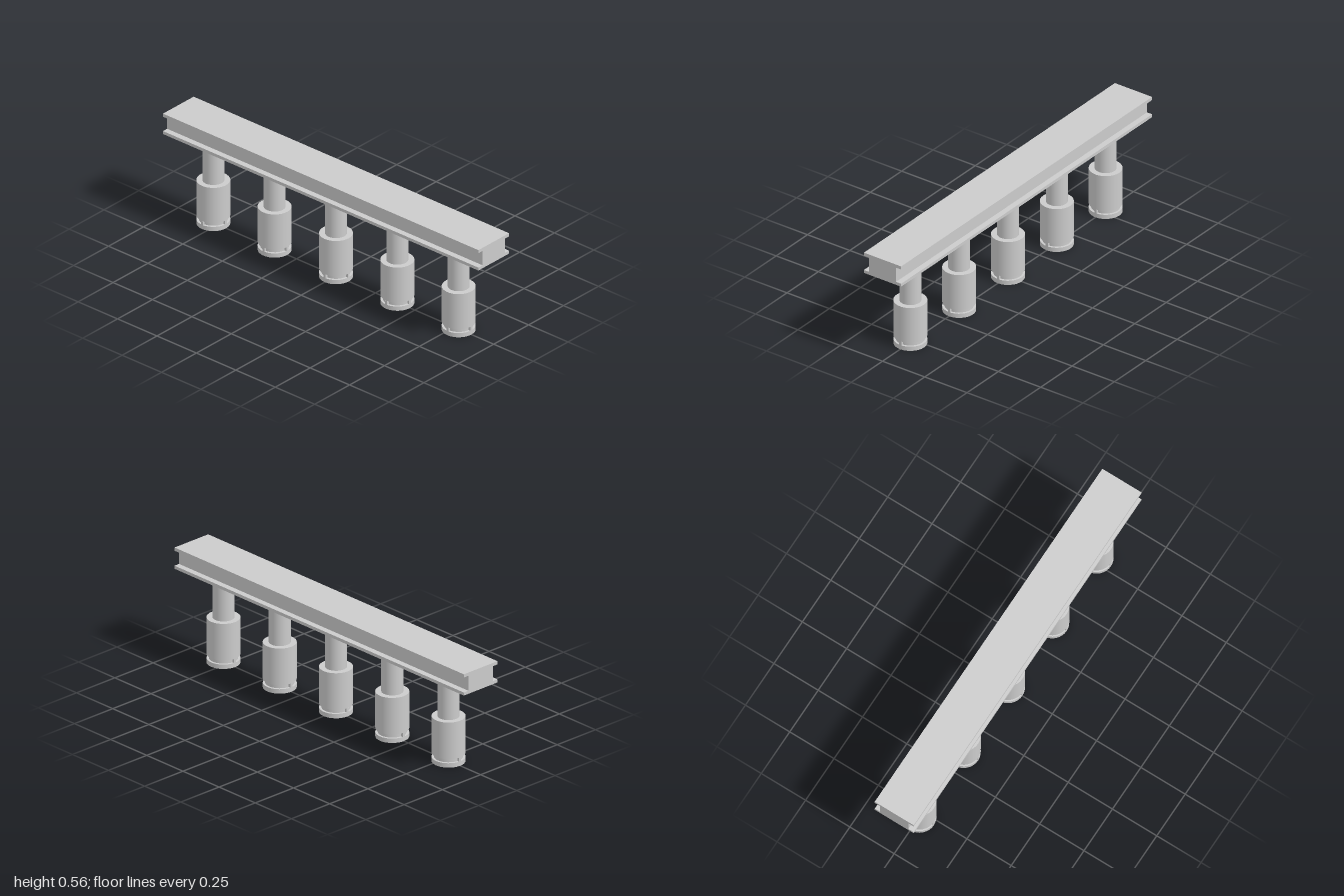
import * as THREE from 'three';

const grey = new THREE.MeshStandardMaterial({ color: 0xcccccc });

function add(parent, name, geometry, x = 0, y = 0, z = 0) {
  const mesh = new THREE.Mesh(geometry, grey);
  mesh.name = name;
  mesh.position.set(x, y, z);
  parent.add(mesh);
  return mesh;
}

// upright cylinder spanning y0..y1
function drum(parent, name, radius, y0, y1) {
  return add(parent, name, new THREE.CylinderGeometry(radius, radius, y1 - y0, 32), 0, (y0 + y1) / 2, 0);
}

// I-shaped rail profile, extruded along x
function railGeometry() {
  const flange = 0.11, web = 0.08;
  const half = [[flange, 0.447], [flange, 0.463], [web, 0.463], [web, 0.541], [flange, 0.541], [flange, 0.558]];
  const outline = [...half, ...half.map(([z, y]) => [-z, y]).reverse()];
  const shape = new THREE.Shape(outline.map(([z, y]) => new THREE.Vector2(z, y)));
  const geometry = new THREE.ExtrudeGeometry(shape, { depth: 2, bevelEnabled: false });
  return geometry.translate(0, 0, -1).rotateY(Math.PI / 2);
}

function createPost() {
  const post = new THREE.Group();
  post.name = 'post';
  const r = 0.081;
  drum(post, 'shaft', 0.0525, 0.235, 0.447);
  drum(post, 'body', r, 0.044, 0.235);
  drum(post, 'grooveCore', 0.0695, 0.023, 0.044);
  drum(post, 'footDisc', r, 0, 0.023);
  // narrow bridges across the groove: front, left and right
  for (const angle of [0, Math.PI / 2, -Math.PI / 2]) {
    const bridge = new THREE.BoxGeometry(0.013, 0.021, 0.021).translate(0, 0, r - 0.0107);
    add(post, 'grooveBridge', bridge.rotateY(angle), 0, 0.0335, 0);
  }
  return post;
}

export function createModel() {
  const model = new THREE.Group();
  model.name = 'railOnPosts';
  add(model, 'rail', railGeometry());
  for (let i = -2; i <= 2; i++) {
    const post = createPost();
    post.position.x = i * 0.389;
    model.add(post);
  }
  return model;
}
